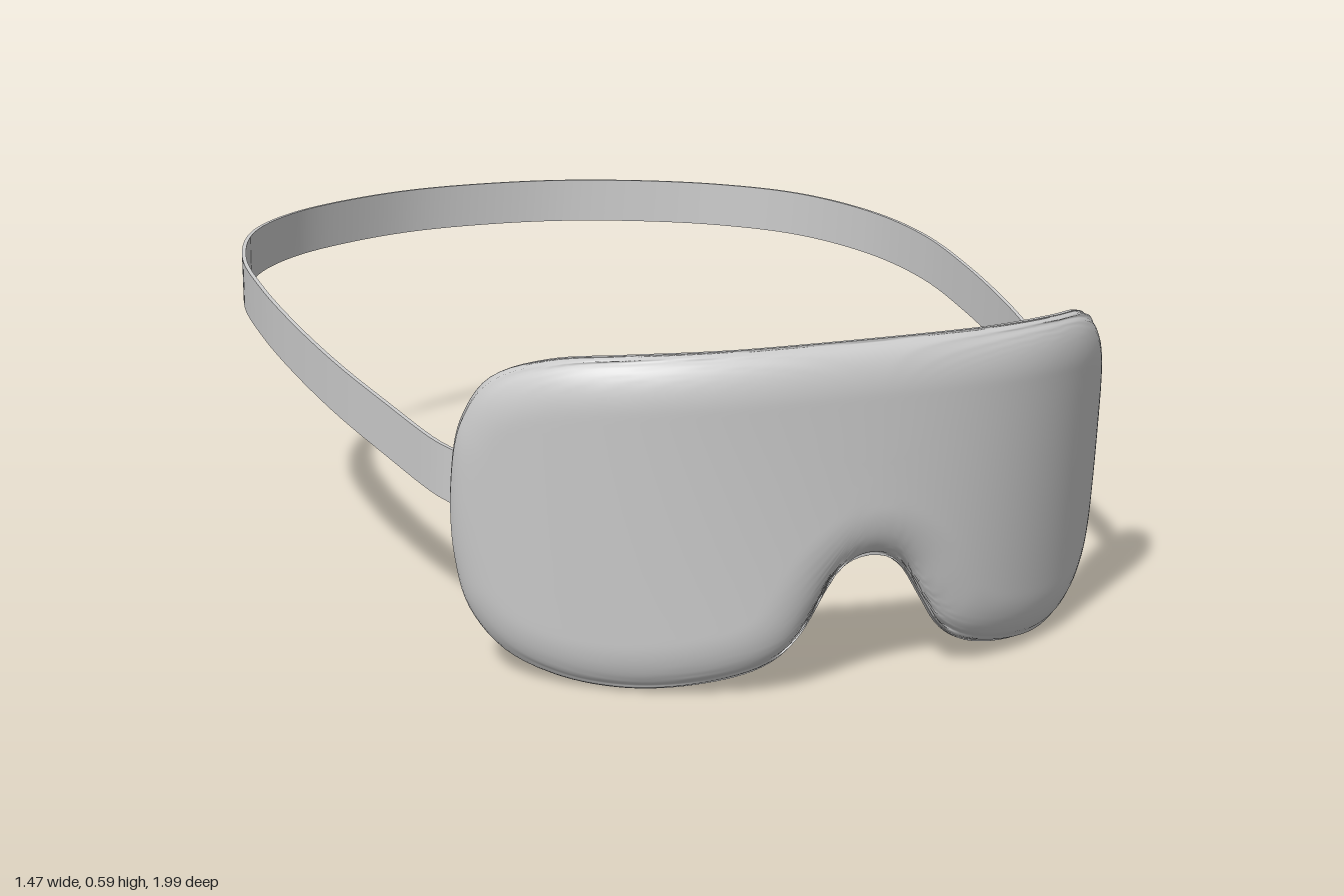
import * as THREE from 'three';
import { mergeVertices } from 'three/addons/utils/BufferGeometryUtils.js';

const V = (x, y, z) => new THREE.Vector3(x, y, z);
const material = new THREE.MeshStandardMaterial({ color: 0xcccccc, side: THREE.DoubleSide });

// Surface through a list of equally long rows of points
function gridSurface(rows, closed) {
  const n = rows[0].length, index = [];
  for (let i = 0; i < rows.length - 1; i++) {
    for (let j = 0; j < (closed ? n : n - 1); j++) {
      const k = (j + 1) % n, a = i * n + j, b = i * n + k;
      index.push(a, b + n, a + n, a, b, b + n);
    }
  }
  let g = new THREE.BufferGeometry();
  g.setAttribute('position', new THREE.Float32BufferAttribute(rows.flat().flatMap(p => p.toArray()), 3));
  g.setIndex(index);
  g = mergeVertices(g, 1e-5);
  g.computeVertexNormals();
  return g;
}

// Face-hugging curve: round at the brow, more pointed at the nose
function baseZ(x, y) {
  const x2 = x * x, t = THREE.MathUtils.clamp(y / 0.59, 0, 1);
  const brow = 0.93 - 0.255 * x2 - 1.53 * x2 * x2;
  const cheek = 0.957 - 0.775 * x2 - 0.63 * x2 * x2;
  return THREE.MathUtils.lerp(cheek, brow, t);
}
const onBase = (x, y) => V(x, y, baseZ(x, y));

function baseNormal(x, y) {
  const e = 0.002;
  return V(-(baseZ(x + e, y) - baseZ(x - e, y)) / (2 * e), -(baseZ(x, y + e) - baseZ(x, y - e)) / (2 * e), 1).normalize();
}

function createMask() {
  // Half outline from brow centre, round the side, to the nose notch
  const half = [
    [0, 0.592], [0.2, 0.59], [0.4, 0.583], [0.5, 0.568], [0.565, 0.53], [0.6, 0.45], [0.612, 0.33],
    [0.607, 0.2], [0.588, 0.11], [0.545, 0.047], [0.48, 0.015], [0.4, 0.005], [0.3, 0.015],
    [0.19, 0.045], [0.14, 0.08], [0.1, 0.14], [0.065, 0.195], [0.035, 0.218], [0, 0.225]
  ];
  const mirrored = half.slice(1, -1).reverse().map(([x, y]) => [-x, y]);
  const curve = new THREE.CatmullRomCurve3([...half, ...mirrored].map(([x, y]) => V(x, y, 0)), true);
  const outline = curve.getSpacedPoints(220).slice(0, -1);
  const rim = outline.map(p => onBase(p.x, p.y));
  const centre = V(0, 0.38, 0), rings = 36, front = [], back = [];

  for (let i = 0; i <= rings; i++) {
    const r = 1 - (1 - i / rings) ** 2;
    const row = outline.map(o => centre.clone().lerp(o, r)).map(p => onBase(p.x, p.y));
    back.push(row);
    // Padding rises in a rounded shoulder from a thin sewn rim
    front.push(row.map(p => {
      let d = Infinity;
      for (const q of rim) d = Math.min(d, p.distanceTo(q));
      const s = 1 - THREE.MathUtils.clamp((d - 0.006) / 0.085, 0, 1);
      const h = 0.008 + 0.04 * Math.sqrt(1 - s * s);
      return p.clone().addScaledVector(baseNormal(p.x, p.y), h);
    }));
  }
  front.push(rim);

  const mask = new THREE.Group();
  mask.name = 'mask';
  const pad = new THREE.Mesh(gridSurface(front, true), material);
  pad.name = 'paddedFront';
  // Flip the pad and lining so that each faces outward
  const lining = new THREE.Mesh(gridSurface([...back].reverse(), true), material);
  lining.name = 'backLining';
  mask.add(pad, lining);
  return mask;
}

function createStrap() {
  // Centre line from the left side of the mask to the back of the head
  const half = [
    [0.606, 0.335, 0.61], [0.626, 0.343, 0.56], [0.664, 0.375, 0.38], [0.698, 0.408, 0.2],
    [0.722, 0.443, 0], [0.731, 0.474, -0.2], [0.711, 0.493, -0.42], [0.635, 0.505, -0.64],
    [0.51, 0.509, -0.8], [0.36, 0.512, -0.9], [0.18, 0.513, -0.975], [0, 0.513, -0.996]
  ];
  const mirrored = half.slice(0, -1).reverse().map(([x, y, z]) => [-x, y, z]);
  const curve = new THREE.CatmullRomCurve3([...half, ...mirrored].map(p => V(...p)));
  const steps = 160, h = 0.048, w = 0.004;
  const section = [[w, h], [w, -h], [-w, -h], [-w, h]];
  const lines = section.map(([out, up]) => {
    const line = [];
    for (let i = 0; i <= steps; i++) {
      const t = curve.getTangentAt(i / steps);
      const side = V(-t.z, 0, t.x).normalize();
      line.push(curve.getPointAt(i / steps).addScaledVector(side, out).add(V(0, up, 0)));
    }
    return line;
  });
  // Four separate faces keep the band's edges sharp
  const strap = new THREE.Group();
  strap.name = 'strap';
  ['outerFace', 'lowerEdge', 'innerFace', 'upperEdge'].forEach((name, i) => {
    const face = new THREE.Mesh(gridSurface([lines[(i + 1) % 4], lines[i]], false), material);
    face.name = name;
    strap.add(face);
  });
  return strap;
}

export function createModel() {
  const model = new THREE.Group();
  model.name = 'sleepMask';
  model.add(createMask(), createStrap());
  return model;
}
